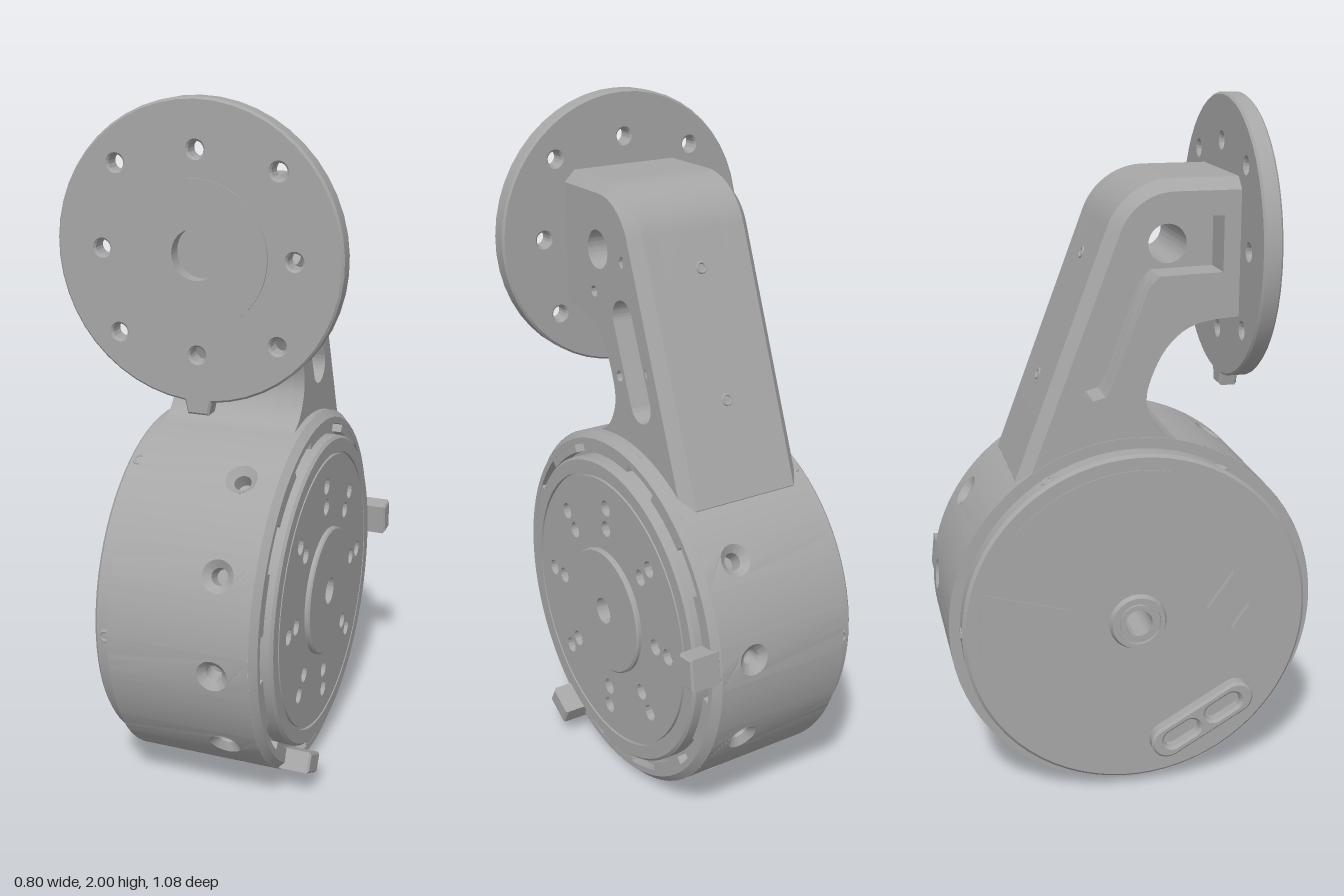
import * as THREE from 'three';
import { toCreasedNormals } from 'three/addons/utils/BufferGeometryUtils.js';

const CY = 0.54, R = 0.538, RAD = Math.PI / 180;
const V = (x, y) => new THREE.Vector2(x, y);

export function createModel() {
  const model = new THREE.Group();
  const grey = new THREE.MeshStandardMaterial({ color: 0xa6a6a6, side: THREE.DoubleSide });
  grey.name = 'machined grey';

  const add = (name, geo) => {
    const mesh = new THREE.Mesh(toCreasedNormals(geo, 0.45), grey);
    mesh.name = name;
    model.add(mesh);
    return mesh;
  };

  // Shapes are drawn as seen from +x: u runs towards -z, v runs up
  const poly = (pts) => new THREE.Shape(pts.map(([u, v]) => V(u, v)));
  const disc = (u, v, r) => new THREE.Shape().absarc(u, v, r, 0, Math.PI * 2);
  const stadium = (u0, v0, u1, v1, r) => {
    const a = Math.atan2(v1 - v0, u1 - u0), q = Math.PI / 2;
    return new THREE.Shape().absarc(u1, v1, r, a - q, a + q).absarc(u0, v0, r, a + q, a + 3 * q).closePath();
  };
  const sector = (r0, r1, a0, a1) =>
    new THREE.Shape().absarc(0, 0, r1, a0 * RAD, a1 * RAD).absarc(0, 0, r0, a1 * RAD, a0 * RAD, true).closePath();
  const rect = (w, h) => poly([[-w / 2, -h / 2], [w / 2, -h / 2], [w / 2, h / 2], [-w / 2, h / 2]]);

  // Extrudes a shape along x from x0 to x1
  const alongX = (shape, x0, x1, { holes = [], turn = 0, u = 0, v = 0, bevel = 0 } = {}) => {
    shape.holes.push(...holes);
    return new THREE.ExtrudeGeometry(shape, {
      depth: x1 - x0 - 2 * bevel, curveSegments: 28, bevelEnabled: bevel > 0,
      bevelSize: bevel, bevelThickness: bevel, bevelOffset: -bevel, bevelSegments: 1,
    }).rotateZ(turn * RAD).translate(u, v, x0 + bevel).rotateY(Math.PI / 2);
  };

  // Turned part on the drum axis, profile as [radius, x]
  const turned = (pts) =>
    new THREE.LatheGeometry(pts.map(([r, x]) => V(r, x)), 72).rotateZ(-Math.PI / 2).translate(0, CY, 0);

  // Aims a +y geometry outward from the drum axis at an angle from the front
  const radial = (geo, x, r, deg) => {
    const a = deg * RAD;
    return geo.rotateX(Math.PI / 2 - a).translate(x, CY + r * Math.sin(a), r * Math.cos(a));
  };

  // Wraps a flat (arc length, x) panel around the drum
  const wrap = (geo, deg) => {
    const p = geo.attributes.position;
    for (let i = 0; i < p.count; i++) {
      const a = deg * RAD + p.getX(i) / R;
      p.setXYZ(i, p.getY(i), CY + R * Math.sin(a), R * Math.cos(a));
    }
    return geo;
  };

  // Drum wall with countersunk holes every 30 degrees, except under the arm
  const X0 = -0.2, X1 = 0.215, arc = R * RAD;
  const plain = (width, deg) =>
    wrap(new THREE.PlaneGeometry(width * arc, X1 - X0, 6, 1).translate(0, (X0 + X1) / 2, 0), deg);
  for (let i = 0; i < 12; i++) {
    const deg = 145 + i * 30;
    add('drumWall', plain(16, deg + 15));
    if (i > 9) { add('drumWall', plain(14, deg)); continue; }
    const edge = [];
    for (let k = -4; k <= 4; k++) edge.push([k * 1.75 * arc, X0]);
    for (let k = 4; k >= -4; k--) edge.push([k * 1.75 * arc, X1]);
    const panel = poly(edge);
    panel.holes.push(disc(0, 0.11, 0.045));
    add('drumWall', wrap(new THREE.ShapeGeometry(panel, 14), deg));
    const cup = [V(0.046, 0), V(0.024, -0.018), V(0.022, -0.06), V(0, -0.06)];
    add('drumScrewHole', radial(new THREE.LatheGeometry(cup, 24), 0.11, R, deg));
  }

  // Drum ends, bore and back cover
  add('drumRim', turned([[R, 0.215], [0.518, 0.235], [0.5, 0.235], [0.5, 0.205], [0.04, 0.205]]));
  add('drumBack', turned([[0.04, -0.2], [R, -0.2]]));
  add('bore', turned([[0.04, -0.268], [0.04, 0.273]]));
  add('backCover', turned([[0.04, -0.255], [0.497, -0.255], [0.506, -0.246], [0.506, -0.2]]));
  add('coverHub', turned([[0.04, -0.268], [0.055, -0.268], [0.055, -0.26], [0.065, -0.26], [0.065, -0.27],
    [0.078, -0.27], [0.085, -0.255]]));
  for (let i = 0; i < 6; i++)
    add('coverScrew', radial(new THREE.TorusGeometry(0.015, 0.005, 8, 20).rotateX(Math.PI / 2), -0.222, 0.505, i * 60));

  // Raised details on the back cover
  for (const [a0, a1] of [[40, 102], [-48, 16]])
    add('coverPad', alongX(sector(0.19, 0.46, a0, a1), -0.258, -0.254, { v: CY }));
  add('coverDiamond', alongX(poly([[-0.075, 0], [0, -0.105], [0.075, 0], [0, 0.105]]), -0.27, -0.25,
    { holes: [poly([[-0.05, 0], [0, -0.07], [0.05, 0], [0, 0.07]])], u: -0.28, v: 0.565 }));
  add('coverConnector', alongX(stadium(-0.12, 0, 0.12, 0, 0.05), -0.292, -0.25, {
    holes: [stadium(-0.105, 0, -0.04, 0, 0.026), stadium(0.04, 0, 0.105, 0, 0.026)],
    turn: 150, u: -0.19, v: 0.215, bevel: 0.007,
  }));

  // Output disc: outer ring, groove, drilled plate and centre boss
  add('outputRing', turned([[0.465, 0.2], [0.465, 0.25], [0.457, 0.258], [0.418, 0.258], [0.418, 0.248], [0.408, 0.248]]));
  const drilled = [disc(0, 0, 0.04)];
  for (let i = 0; i < 8; i++) for (const r of [0.265, 0.33]) {
    const u = r * Math.cos(i * 45 * RAD), v = r * Math.sin(i * 45 * RAD);
    drilled.push(disc(u, v, 0.024));
    add('outputScrew', alongX(disc(u, v, 0.015), 0.2, 0.24, { v: CY }));
  }
  add('outputPlate', alongX(disc(0, 0, 0.41), 0.205, 0.258, { holes: drilled, v: CY }));
  add('outputBoss', turned([[0.192, 0.255], [0.192, 0.268], [0.187, 0.273], [0.04, 0.273]]));

  // Locking lugs inside the rim and the two stop tabs
  for (let i = 0; i < 10; i++)
    add('rimLug', alongX(sector(0.476, 0.503, i * 36 + 8, i * 36 + 28), 0.205, 0.234, { v: CY }));
  for (const deg of [6, 241.7])
    add('stopTab', alongX(rect(0.06, 0.095), 0.215, 0.31, {
      turn: deg, u: 0.503 * Math.cos(deg * RAD), v: CY + 0.503 * Math.sin(deg * RAD), bevel: 0.006,
    }));

  // Arm outline: straight top, rounded back corner, sloping back, curved throat
  const C = V(-0.11, 1.6), CR = 0.19;
  const throat = new THREE.SplineCurve([V(-0.15, 1.05), V(-0.075, 1.095), V(-0.037, 1.17), V(-0.05, 1.25),
    V(-0.1, 1.34), V(-0.18, 1.395), V(-0.31, 1.41)]).getPoints(28);
  const armShape = () => {
    const pts = [V(-0.31, 1.79)];
    for (let k = 0; k <= 12; k++) {
      const a = (90 - 69.3 * k / 12) * RAD;
      pts.push(V(C.x + CR * Math.cos(a), C.y + CR * Math.sin(a)));
    }
    return new THREE.Shape([...pts, V(0.333, 0.966), V(0.3, 0.85), V(-0.2, 0.85), ...throat]);
  };
  const pin = () => disc(-0.12, 1.6, 0.055);
  const rightHoles = () => [pin(), stadium(0.01, 1.43, 0.1, 1.205, 0.053),
    ...[[-0.143, 1.475], [0.012, 1.59], [0.14, 1.31], [-0.01, 1.26]].map(([u, v]) => disc(u, v, 0.016))];
  const elbow = () => [poly([[-0.25, 1.69], [-0.07, 1.69], [-0.03, 1.675], [0, 1.64], [0.15, 1.24], [0.145, 1.21],
    [0.115, 1.19], [0.08, 1.2], [0.06, 1.23], [-0.04, 1.5], [-0.07, 1.53], [-0.25, 1.535]])];

  // Pulls the top and back outline inward on the outer face to form a chamfer
  const chamfer = (geo) => {
    const p = geo.attributes.position, inset = 0.032;
    for (let i = 0; i < p.count; i++) {
      if (Math.abs(p.getX(i)) < 0.19) continue;
      const u = -p.getZ(i), v = p.getY(i), d = Math.hypot(u - C.x, v - C.y);
      if (Math.abs(d - CR) < 0.003 && (u > C.x - 0.001) && v > C.y) {
        p.setY(i, C.y + (v - C.y) * (CR - inset) / CR);
        p.setZ(i, -(C.x + (u - C.x) * (CR - inset) / CR));
      } else if (v > 1.78) p.setY(i, v - inset);
      else if (u > 0.29) p.setZ(i, -(u - inset));
    }
    return geo;
  };
  add('armRightFace', chamfer(alongX(armShape(), 0.165, 0.197, { holes: rightHoles() })));
  add('armRight', alongX(armShape(), 0.12, 0.165, { holes: rightHoles() }));
  add('armCore', alongX(armShape(), -0.09, 0.12, { holes: [pin()] }));
  add('armLeft', alongX(armShape(), -0.165, -0.09, { holes: elbow() }));
  add('armLeftFace', chamfer(alongX(armShape(), -0.197, -0.165, { holes: elbow() })));
  for (const [y, z] of [[1.226, -0.235], [1.57, -0.105]])
    add('armBackScrew', new THREE.TorusGeometry(0.014, 0.004, 8, 20).rotateX(Math.PI / 2)
      .rotateX(-Math.PI / 2 - 20.7 * RAD + Math.PI / 2 - 48.6 * RAD).translate(0, y, z));

  // Mounting flange with key tab, bolt holes and raised centre
  const flange = new THREE.Shape().absarc(0, 0, 0.4, -84.5 * RAD, 264.5 * RAD);
  flange.lineTo(-0.03, -0.435).lineTo(0.03, -0.435).closePath();
  flange.holes.push(disc(0, 0, 0.07));
  for (let i = 0; i < 8; i++) {
    const r = i % 2 ? 0.318 : 0.269, a = i * 45 * RAD;
    flange.holes.push(disc(r * Math.cos(a), r * Math.sin(a), 0.021));
  }
  add('flange', new THREE.ExtrudeGeometry(flange, {
    depth: 0.041, curveSegments: 24, bevelSize: 0.006, bevelThickness: 0.006, bevelOffset: -0.006, bevelSegments: 1,
  }).translate(0, 1.6, 0.303));
  const centre = disc(0, 0, 0.197);
  centre.holes.push(disc(0, 0, 0.068));
  add('flangeCentre', new THREE.ExtrudeGeometry(centre, { depth: 0.006, curveSegments: 28, bevelEnabled: false })
    .translate(0, 1.6, 0.348));
  return model;
}
